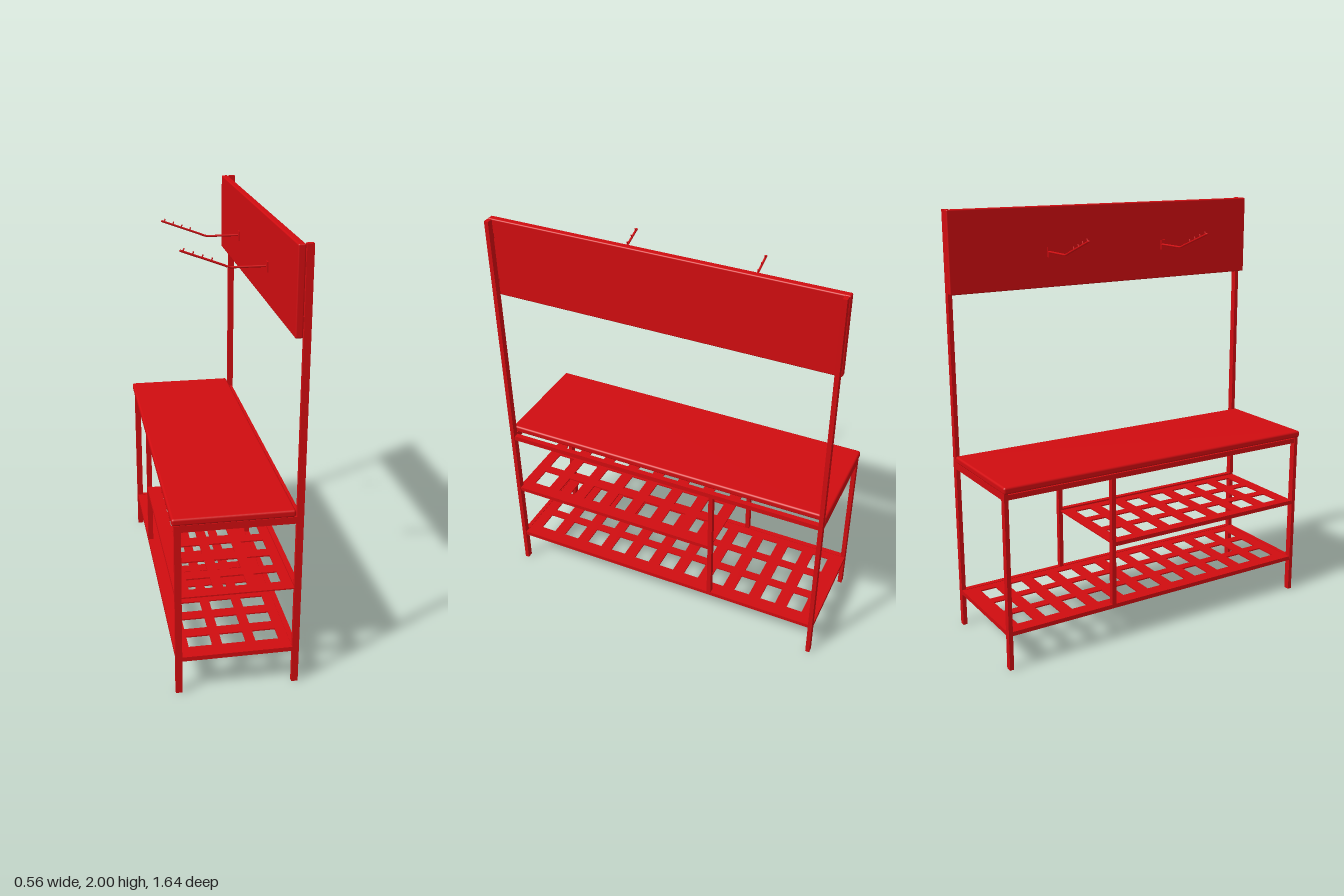
import * as THREE from 'three';
import { RoundedBoxGeometry } from 'three/addons/geometries/RoundedBoxGeometry.js';

const red = new THREE.MeshStandardMaterial({ color: 0xd00c10 });

function add(parent, name, geometry, x = 0, y = 0, z = 0) {
  const mesh = new THREE.Mesh(geometry, red);
  mesh.name = name;
  mesh.position.set(x, y, z);
  parent.add(mesh);
  return mesh;
}

// Box given by its limits on each axis
function bar(parent, name, [x0, x1], [y0, y1], [z0, z1], radius = 0) {
  const size = [x1 - x0, y1 - y0, z1 - z0];
  const geometry = radius ? new RoundedBoxGeometry(...size, 3, radius) : new THREE.BoxGeometry(...size);
  return add(parent, name, geometry, (x0 + x1) / 2, (y0 + y1) / 2, (z0 + z1) / 2);
}

// Thin sheet with a grid of rectangular openings
function slattedShelf(parent, name, y, z0, z1, rows) {
  const x0 = -0.25, x1 = 0.25, columns = 3, gapX = 0.045, gapZ = 0.06;
  const shape = new THREE.Shape();
  shape.moveTo(x0, -z1).lineTo(x1, -z1).lineTo(x1, -z0).lineTo(x0, -z0).closePath();
  const w = (x1 - x0 - gapX * (columns + 1)) / columns;
  const d = (z1 - z0 - gapZ * (rows + 1)) / rows;
  for (let i = 0; i < columns; i++) {
    for (let j = 0; j < rows; j++) {
      const x = x0 + gapX + i * (w + gapX);
      const v = -z1 + gapZ + j * (d + gapZ);
      const hole = new THREE.Path();
      hole.moveTo(x, v).lineTo(x, v + d).lineTo(x + w, v + d).lineTo(x + w, v).closePath();
      shape.holes.push(hole);
    }
  }
  const geometry = new THREE.ExtrudeGeometry(shape, { depth: 0.006, bevelEnabled: false });
  geometry.rotateX(-Math.PI / 2);
  add(parent, name, geometry, 0, y, 0);
}

// Bent display arm with small stop pins along its sloping end
function displayArm(parent, z) {
  const arm = new THREE.Group();
  arm.name = 'displayArm';
  arm.position.z = z;
  parent.add(arm);
  const path = new THREE.CurvePath();
  const a = new THREE.Vector3(0.215, 1.79, 0), b = new THREE.Vector3(0.06, 1.79, 0);
  const c = new THREE.Vector3(0.02, 1.802, 0), d = new THREE.Vector3(-0.165, 1.87, 0);
  path.add(new THREE.LineCurve3(a, b));
  path.add(new THREE.QuadraticBezierCurve3(b, new THREE.Vector3(0.045, 1.79, 0), c));
  path.add(new THREE.LineCurve3(c, d));
  add(arm, 'armRod', new THREE.TubeGeometry(path, 48, 0.005, 10, false));
  const cap = new THREE.SphereGeometry(0.005, 10, 6);
  add(arm, 'armTip', cap, d.x, d.y, 0);
  const pin = new THREE.CylinderGeometry(0.003, 0.003, 0.016, 8);
  for (let i = 0; i < 4; i++) {
    const p = c.clone().lerp(d, 0.28 + i * 0.22);
    add(arm, 'stopPin', pin, p.x + 0.002, p.y + 0.007, 0).rotation.z = -0.35;
  }
  bar(arm, 'armPlate', [0.207, 0.216], [1.765, 1.812], [-0.006, 0.02]);
}

export function createModel() {
  const model = new THREE.Group();
  model.name = 'displayTable';
  const front = [-0.275, -0.245], back = [0.25, 0.28], inner = [-0.245, 0.25];
  const ends = [[0.798, 0.818], [-0.818, -0.798]];

  // Short front legs, tall back posts and the end rails between them
  for (const z of ends) {
    bar(model, 'frontLeg', front, [0, 0.835], z);
    bar(model, 'backPost', back, [0, 2], z);
    bar(model, 'topEndRail', inner, [0.803, 0.835], z);
    bar(model, 'bottomEndRail', inner, [0.163, 0.184], z);
  }

  // Long rails and the dividing uprights on both long sides
  for (const x of [[-0.272, -0.247], [0.25, 0.275]]) {
    bar(model, 'topLongRail', x, [0.805, 0.829], [-0.798, 0.798]);
    bar(model, 'middleLongRail', x, [0.475, 0.495], [-0.26, 0.798]);
    bar(model, 'bottomLongRail', x, [0.164, 0.184], [-0.798, 0.798]);
    bar(model, 'divider', x, [0.184, 0.805], [-0.28, -0.259]);
  }

  // Slatted shelves
  slattedShelf(model, 'bottomShelf', 0.176, -0.8, 0.8, 11);
  slattedShelf(model, 'middleShelf', 0.481, -0.27, 0.815, 7);

  // Worktop and header board with softened edges
  bar(model, 'worktop', [-0.285, 0.245], [0.835, 0.868], [-0.822, 0.822], 0.01);
  bar(model, 'headerBoard', [0.214, 0.246], [1.624, 2], [-0.822, 0.822], 0.006);

  // Header mounts join the board to the posts
  for (const [z0, z1] of ends) {
    for (const y of [1.7, 1.92]) bar(model, 'boardMount', [0.244, 0.252], [y - 0.01, y + 0.01], [z0, z1]);
  }

  for (const z of [-0.325, 0.305]) displayArm(model, z);
  return model;
}
